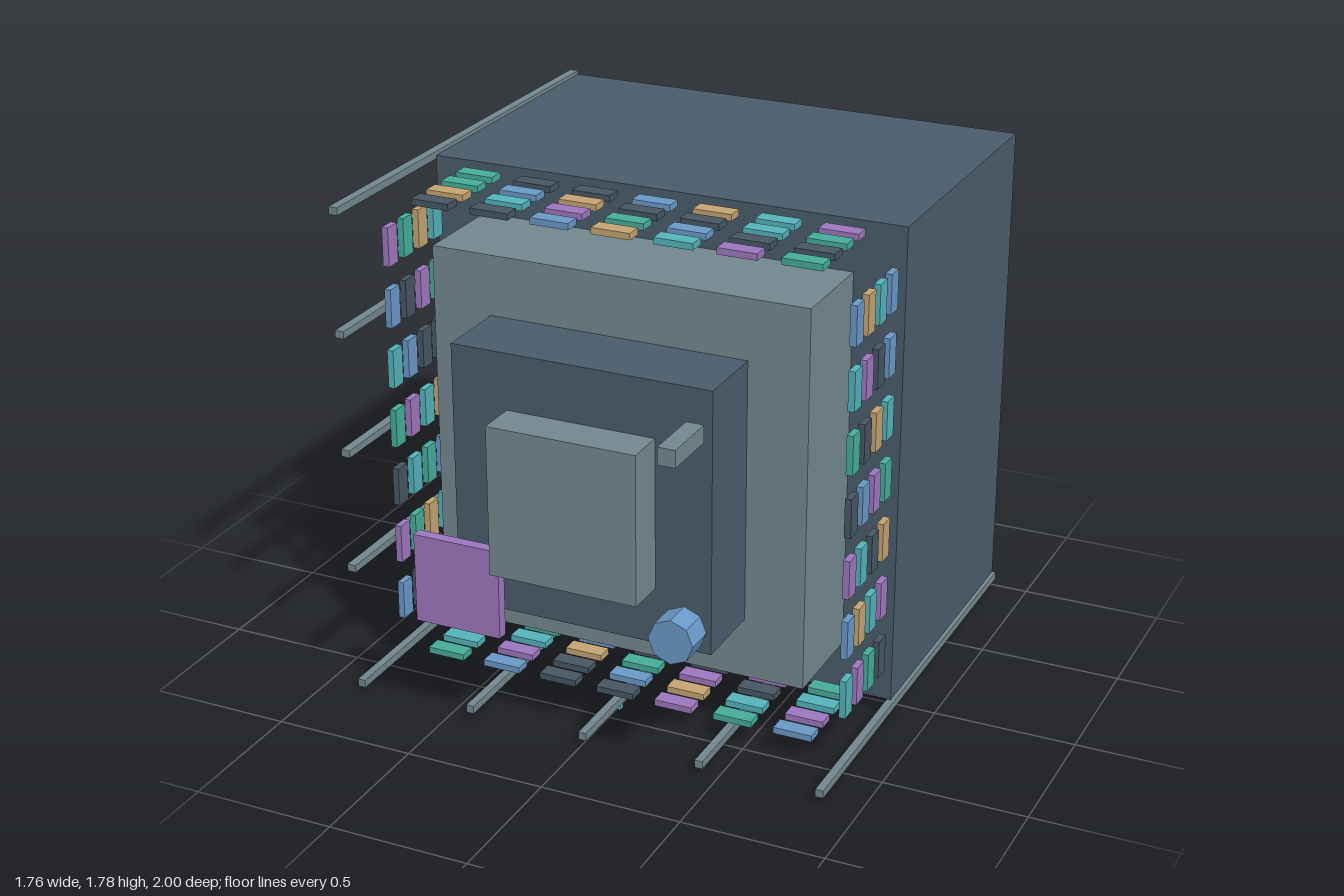
import * as THREE from 'three';

const mat = (name, color) => {
  const m = new THREE.MeshStandardMaterial({ color });
  m.name = name;
  return m;
};

export function createModel() {
  const root = new THREE.Group();
  root.name = 'steppedMachine';

  const M = {
    slate: mat('slate', 0x4a5d6b),
    grey: mat('steelGrey', 0x74888f),
    d: mat('charcoal', 0x475663),
    b: mat('blue', 0x6a99c8),
    o: mat('tan', 0xc4a472),
    c: mat('cyan', 0x54b4bb),
    p: mat('purple', 0x9d78bf),
    g: mat('green', 0x45ad9a),
  };
  const CX = 0.006, CY = 0.912; // centre line of the stepped body

  // box given by centre and size
  const box = (name, m, x, y, z, w, h, d, parent = root) => {
    const mesh = new THREE.Mesh(new THREE.BoxGeometry(w, h, d), m);
    mesh.position.set(x, y, z);
    mesh.name = name;
    parent.add(mesh);
    return mesh;
  };

  // stepped body: four square tiers toward the front
  [
    ['mainHousing', M.slate, 1.715, -1, 0.07],
    ['secondTier', M.grey, 1.352, 0.07, 0.427],
    ['thirdTier', M.slate, 0.927, 0.427, 0.697],
    ['frontTier', M.grey, 0.53, 0.697, 0.84],
  ].forEach(([name, m, s, z0, z1]) => box(name, m, CX, CY, (z0 + z1) / 2, s, s, z1 - z0));

  // long rails along the bottom and the -x side
  const rails = new THREE.Group();
  rails.name = 'rails';
  root.add(rails);
  for (let i = 0; i < 5; i++) {
    box('bottomRail', M.grey, CX + (i - 2) * 0.4285, 0.04, -0.143, 0.028, 0.028, 1.715, rails);
    if (i > 0) box('sideRail', M.grey, -0.867, 0.055 + i * 0.4288, -0.143, 0.032, 0.026, 1.715, rails);
  }

  // small studs under the middle rail
  for (let i = 0; i < 3; i++) box('stud', M.c, CX, 0.013, 0.43 - i * 0.573, 0.018, 0.026, 0.018);

  // ring of tiles on four sides; each string is one row, from back to front
  const tiles = new THREE.Group();
  tiles.name = 'tiles';
  root.add(tiles);
  const rows = {
    top: ['gddbocp', 'gboddcg', 'ocpgbdd', 'ddbocpg'],       // -x to +x
    bottom: ['pgbddpg', 'dcogpdc', 'cpdbocp', 'gbddpgb'],    // -x to +x
    right: ['bbcgopd', 'cdopdcg', 'opdbcop', 'bcgdpbc'],     // top to bottom
    left: ['cgdobcg', 'opdcgop', 'gdbpcgd', 'pbcgdpb'],      // top to bottom
  };
  const STEP = 0.2195, OFF = 0.833;
  for (const [side, list] of Object.entries(rows)) {
    list.forEach((row, r) => [...row].forEach((key, i) => {
      const t = (i - 3) * STEP, z = 0.137 + r * 0.1;
      const flat = side === 'top' || side === 'bottom';
      const s = side === 'top' || side === 'right' ? OFF : -OFF;
      if (flat) box(side + 'Tile', M[key], CX + t, CY + s, z, 0.138, 0.023, 0.06, tiles);
      else box(side + 'Tile', M[key], CX + s, CY - t, z, 0.023, 0.138, 0.06, tiles);
    }));
  }

  // loose pieces at the front
  box('purplePanel', M.p, -0.404, 0.557, 0.786, 0.315, 0.319, 0.04);
  box('frontBar', M.grey, 0.452, 1.271, 0.895, 0.061, 0.06, 0.21);
  const knobGeo = new THREE.CylinderGeometry(0.079, 0.079, 0.105, 8).toNonIndexed();
  knobGeo.computeVertexNormals();
  const knob = new THREE.Mesh(knobGeo, M.b);
  knob.name = 'octagonalKnob';
  knob.rotation.x = Math.PI / 2;
  knob.position.set(0.398, 0.556, 0.803);
  root.add(knob);

  return root;
}
